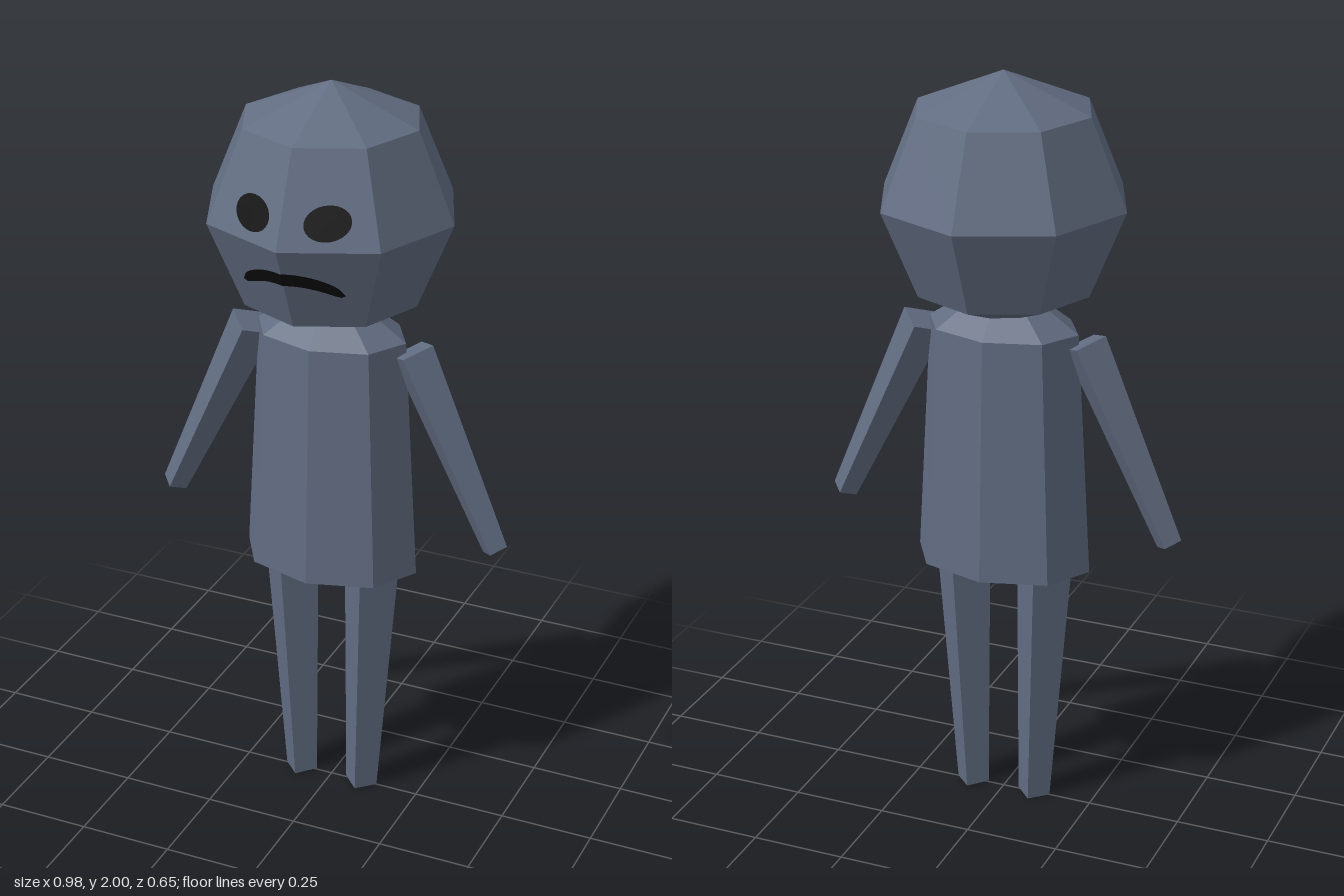
import * as THREE from 'three';

const skin = new THREE.MeshStandardMaterial({ color: 0x626d82, flatShading: true });
skin.name = 'slate';
const ink = new THREE.MeshStandardMaterial({ color: 0x0b0b0b, flatShading: true });
ink.name = 'black';

const HEAD_Y = 1.675;
const HEAD_R = 0.325;

// Four-sided tapered limb between two points
function limb(name, top, bottom, rTop, rBottom) {
  const a = new THREE.Vector3(...top);
  const b = new THREE.Vector3(...bottom);
  const axis = a.clone().sub(b);
  const mesh = new THREE.Mesh(new THREE.CylinderGeometry(rTop, rBottom, axis.length(), 4), skin);
  mesh.position.copy(a).add(b).multiplyScalar(0.5);
  mesh.quaternion.setFromUnitVectors(new THREE.Vector3(0, 1, 0), axis.normalize());
  mesh.name = name;
  return mesh;
}

// Lay a flat face detail onto the facets at the front of the head
function onFace(name, geometry) {
  const p = geometry.attributes.position;
  const slope = Math.SQRT2 - 1;
  for (let i = 0; i < p.count; i++) {
    const fall = slope * (Math.abs(p.getX(i)) + Math.abs(p.getY(i) - HEAD_Y));
    p.setZ(i, HEAD_R - fall + 0.004);
  }
  geometry.computeVertexNormals();
  const mesh = new THREE.Mesh(geometry, ink);
  mesh.name = name;
  return mesh;
}

export function createModel() {
  const model = new THREE.Group();
  model.name = 'sadFigure';

  // Head: faceted ball
  const head = new THREE.Mesh(new THREE.SphereGeometry(HEAD_R, 8, 4), skin);
  head.position.y = HEAD_Y;
  head.name = 'head';
  model.add(head);

  // Torso: eight-sided, flattened front to back, with sloping shoulders
  const profile = [[0, 0.69], [0.24, 0.69], [0.203, 1.34], [0.1, 1.41], [0, 1.41]];
  const torso = new THREE.Mesh(
    new THREE.LatheGeometry(profile.map(([r, y]) => new THREE.Vector2(r, y)), 8), skin);
  torso.scale.z = 0.69;
  torso.name = 'torso';
  model.add(torso);

  // Arms and legs
  for (const [side, s] of [['left', 1], ['right', -1]]) {
    model.add(limb(side + 'Arm', [s * 0.22, 1.323, 0], [s * 0.456, 0.81, 0], 0.061, 0.035));
    model.add(limb(side + 'Leg', [s * 0.115, 0.71, 0], [s * 0.089, 0.002, 0], 0.077, 0.045));
  }

  // Eyes
  for (const [name, x] of [['leftEye', 0.105], ['rightEye', -0.087]]) {
    const eye = new THREE.CircleGeometry(1, 24);
    eye.scale(0.053, 0.041, 1).translate(x, 1.741, 0);
    model.add(onFace(name, eye));
  }

  // Mouth: downturned ribbon with rounded ends
  const half = 0.136;
  const mouth = new THREE.PlaneGeometry(2 * half, 2, 24, 1);
  const p = mouth.attributes.position;
  for (let i = 0; i < p.count; i++) {
    const t = p.getX(i) / half;
    const thick = 0.018 * Math.pow(Math.max(0, 1 - t ** 8), 0.5);
    p.setY(i, 1.593 - 0.048 * t * t + Math.sign(p.getY(i)) * thick);
  }
  model.add(onFace('mouth', mouth));

  return model;
}
